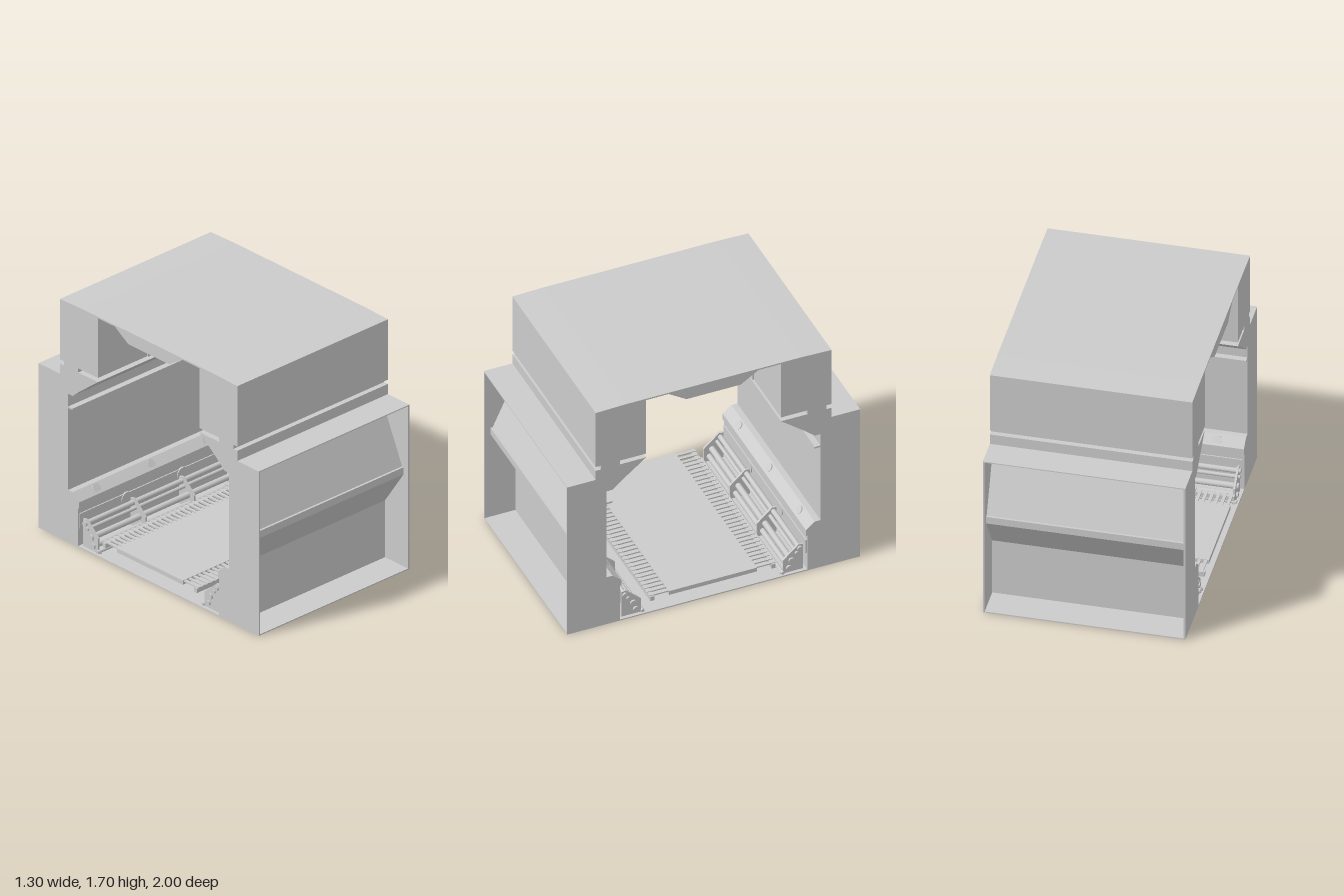
import * as THREE from 'three';

const mat = new THREE.MeshStandardMaterial({ color: 0xcccccc, side: THREE.DoubleSide });

// Extrude a [z, y] outline along x, centred on cx
function prism(name, pts, length, cx = 0) {
  const shape = new THREE.Shape(pts.map(([z, y]) => new THREE.Vector2(z, y)));
  const geo = new THREE.ExtrudeGeometry(shape, { depth: length, bevelEnabled: false });
  geo.translate(0, 0, -length / 2).rotateY(-Math.PI / 2).translate(cx, 0, 0);
  const mesh = new THREE.Mesh(geo, mat);
  mesh.name = name;
  return mesh;
}

// Box given by its x, y and z ranges
function box(name, x0, x1, y0, y1, z0, z1) {
  const mesh = new THREE.Mesh(new THREE.BoxGeometry(x1 - x0, y1 - y0, z1 - z0), mat);
  mesh.position.set((x0 + x1) / 2, (y0 + y1) / 2, (z0 + z1) / 2);
  mesh.name = name;
  return mesh;
}

// Round bar along x
function pipe(name, r, length, y, z, x = 0) {
  const geo = new THREE.CylinderGeometry(r, r, length, 16).rotateZ(Math.PI / 2);
  const mesh = new THREE.Mesh(geo, mat);
  mesh.position.set(x, y, z);
  mesh.name = name;
  return mesh;
}

// Inner face of the side unit, from the top down
const inner = [
  [0.46, 1.69], [0.46, 1.265], [0.64, 1.265], [0.64, 1.235], [0.46, 1.235], [0.62, 1.11],
  [0.69, 1.05], [0.73, 1.05], [0.73, 0.37], [0.69, 0.37], [0.63, 0.32], [0.63, 0.275], [0.64, 0.275], [0.64, 0.008],
];
const neck = [[0.805, 1.235], [0.77, 1.235], [0.77, 1.265], [0.805, 1.265], [0.805, 1.69]];
const plateOutline = [...inner, [1, 0.008], [1, 1.163], [0.805, 1.163], ...neck];
const coreOutline = [
  ...inner, [0.79, 0.008], [0.79, 0.41], [0.96, 0.66], [0.96, 0.71],
  [0.945, 0.71], [0.79, 1.054], [0.805, 1.106], ...neck,
];

function sideUnit(name) {
  const g = new THREE.Group();
  g.name = name;
  g.add(prism('sideCore', coreOutline, 1.28));
  for (const s of [-1, 1]) g.add(prism('endPlate', plateOutline, 0.012, s * 0.644));
  g.add(box('shelf', -0.64, 0.64, 1.156, 1.163, 0.8, 1));
  g.add(box('wallRail', -0.65, 0.65, 0.948, 0.96, 0.69, 0.735));
  g.add(box('kickStrip', -0.64, 0.64, 0.13, 0.235, 0.632, 0.642));

  // Posts on the upper cabinet
  for (const x of [-0.215, 0.215]) g.add(box('cabinetPost', x - 0.012, x + 0.012, 1.265, 1.69, 0.45, 0.465));

  // Round covers on the sloped sill and on the wall below it
  for (const x of [-0.47, 0, 0.47]) {
    const cover = new THREE.Mesh(new THREE.CylinderGeometry(0.03, 0.03, 0.008, 24), mat);
    cover.position.set(x, 0.345, 0.66);
    cover.rotation.x = -Math.atan2(0.06, 0.05);
    cover.name = 'sillCover';
    g.add(cover);
  }
  for (const x of [-0.24, 0.24]) {
    const cover = new THREE.Mesh(new THREE.CylinderGeometry(0.045, 0.045, 0.012, 24).rotateX(Math.PI / 2), mat);
    cover.position.set(x, 0.2, 0.632);
    cover.name = 'wallCover';
    g.add(cover);
  }

  // Pipe rack: brackets carrying bars along the length
  const bracket = [[0.62, 0.005], [0.62, 0.2], [0.59, 0.205], [0.485, 0.11], [0.485, 0.03], [0.465, 0.02], [0.465, 0.005]];
  for (const x of [-0.62, -0.21, 0.21, 0.62]) g.add(prism('pipeBracket', bracket, 0.014, x));
  const bars = [[0.175, 0.597, 0.017], [0.145, 0.575, 0.012], [0.098, 0.54, 0.02], [0.045, 0.522, 0.018], [0.02, 0.478, 0.011]];
  for (const [y, z, r] of bars) g.add(pipe('rackPipe', r, 1.28, y, z));

  // Comb along the deck edge
  g.add(box('combRail', -0.64, 0.64, 0.08, 0.112, 0.4, 0.428));
  for (let i = 0; i < 32; i++) {
    const x = -0.62 + i * 0.04;
    g.add(box('combTooth', x - 0.01, x + 0.01, 0.108, 0.117, 0.29, 0.43));
  }
  return g;
}

export function createModel() {
  const model = new THREE.Group();
  model.name = 'cabinetTunnel';

  // Matching front and back units
  const back = sideUnit('backUnit');
  back.rotation.y = Math.PI;
  model.add(sideUnit('frontUnit'), back);

  // Thin floor and slightly cambered roof
  model.add(box('floor', -0.65, 0.65, 0, 0.008, -1, 1));
  model.add(prism('roof', [[-0.805, 1.688], [0.805, 1.688], [0.805, 1.692], [0.6, 1.698], [-0.6, 1.698], [-0.805, 1.692]], 1.3));

  // Ceiling duct
  model.add(prism('ceilingDuct', [[-0.31, 1.69], [-0.185, 1.61], [0.185, 1.61], [0.31, 1.69]], 1.3));

  // Central deck
  model.add(box('deck', -0.64, 0.64, 0.09, 0.12, -0.3, 0.3));
  return model;
}
